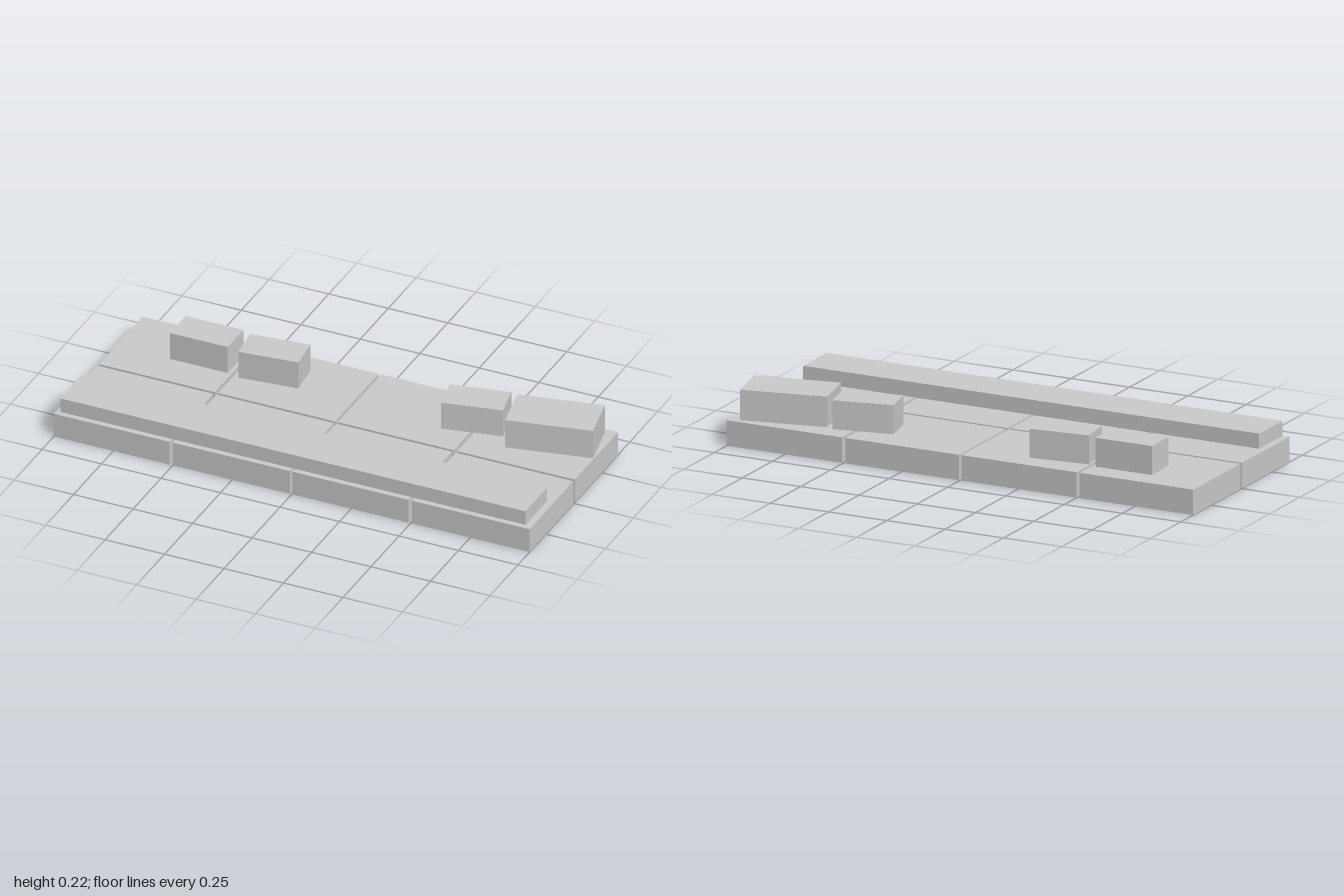
import * as THREE from 'three';

export function createModel() {
  const model = new THREE.Group();
  model.name = 'pavedPlatform';
  const stone = new THREE.MeshStandardMaterial({ color: 0xcccccc });
  stone.name = 'pale stone';

  // Box given by its centre, bottom height, size and turn about y
  function block(name, x, y, z, w, h, d, turn = 0) {
    const mesh = new THREE.Mesh(new THREE.BoxGeometry(w, h, d), stone);
    mesh.name = name;
    mesh.position.set(x, y + h / 2, z);
    mesh.rotation.y = THREE.MathUtils.degToRad(turn);
    model.add(mesh);
  }

  // Paving slabs: two rows of four, separated by narrow joints
  const columns = [[-1, -0.513], [-0.499, -0.007], [0.004, 0.491], [0.506, 1]];
  const rows = [['back', -0.397, -0.009], ['front', 0.004, 0.395]];
  for (const [row, z0, z1] of rows) {
    columns.forEach(([x0, x1], i) => {
      block(`${row}Slab${i + 1}`, (x0 + x1) / 2, 0, (z0 + z1) / 2, x1 - x0, 0.101, z1 - z0);
    });
  }

  // Long beam hovering just above the front row
  block('frontBeam', -0.002, 0.106, 0.283, 1.955, 0.06, 0.193);

  // Loose blocks along the back row
  block('rightOuterBlock', -0.65, 0.101, -0.228, 0.242, 0.115, 0.139);
  block('rightInnerBlock', -0.365, 0.101, -0.226, 0.242, 0.115, 0.139, 6);
  block('leftInnerBlock', 0.484, 0.101, -0.225, 0.242, 0.115, 0.139, 11.5);
  block('leftOuterBlock', 0.807, 0.101, -0.242, 0.344, 0.121, 0.196, 11.7);

  return model;
}
